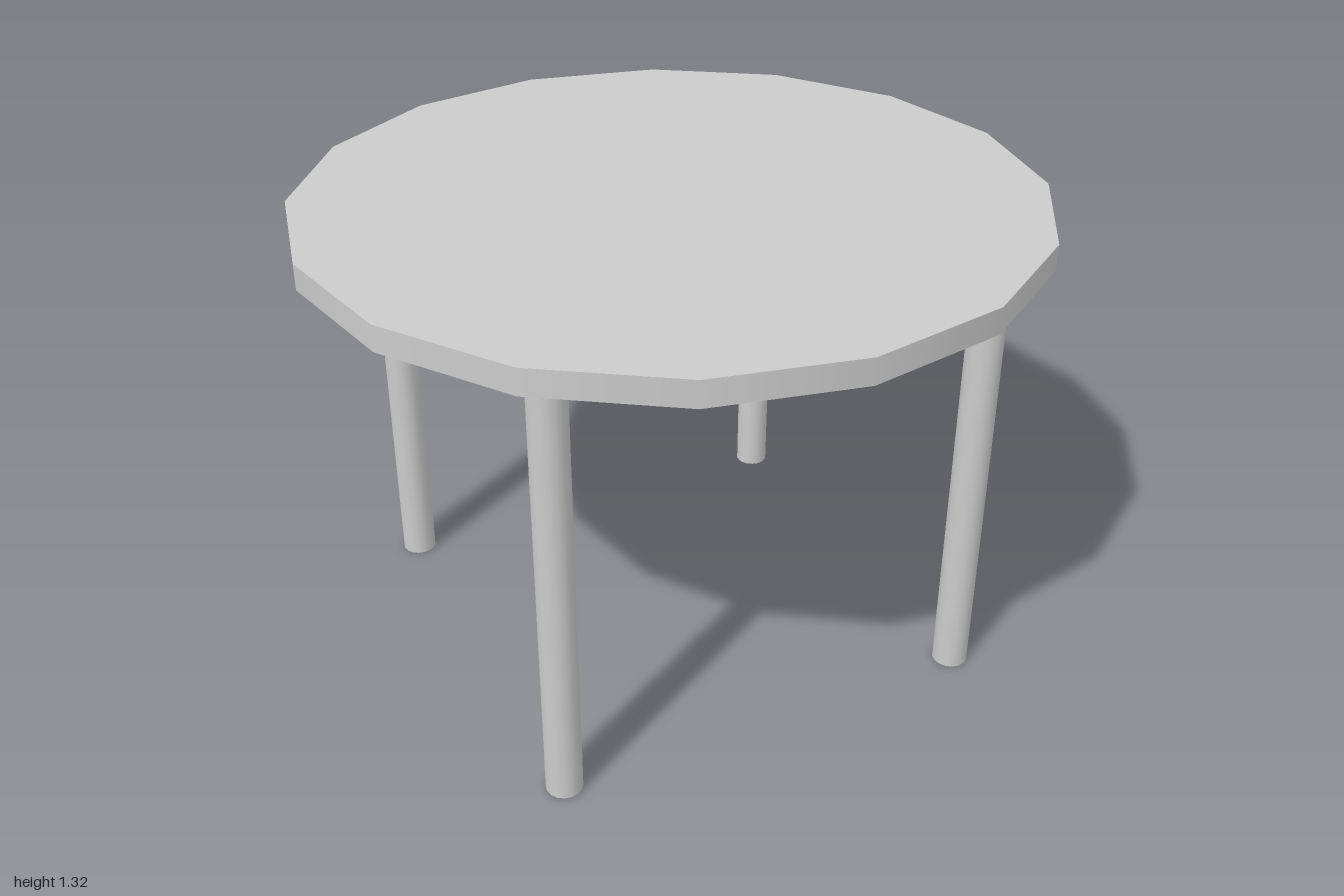
import * as THREE from 'three';

const TOP_Y = 1.32;
const THICKNESS = 0.07;
const LEG_HEIGHT = TOP_Y - THICKNESS;
const LEG_OFFSET = 0.6;

export function createModel() {
  const table = new THREE.Group();
  table.name = 'roundTable';
  const material = new THREE.MeshStandardMaterial({ color: 0xcccccc });

  // Sixteen-sided table top with a corner on each axis
  const top = new THREE.Mesh(new THREE.CylinderGeometry(1, 1, THICKNESS, 16), material);
  top.name = 'tableTop';
  top.position.y = TOP_Y - THICKNESS / 2;
  table.add(top);

  // Four straight round legs
  const legGeometry = new THREE.CylinderGeometry(0.049, 0.049, LEG_HEIGHT, 16);
  for (const [end, z] of [['front', LEG_OFFSET], ['back', -LEG_OFFSET]]) {
    for (const [side, x] of [['Left', LEG_OFFSET], ['Right', -LEG_OFFSET]]) {
      const leg = new THREE.Mesh(legGeometry, material);
      leg.name = `${end}${side}Leg`;
      leg.position.set(x, LEG_HEIGHT / 2, z);
      table.add(leg);
    }
  }
  return table;
}
